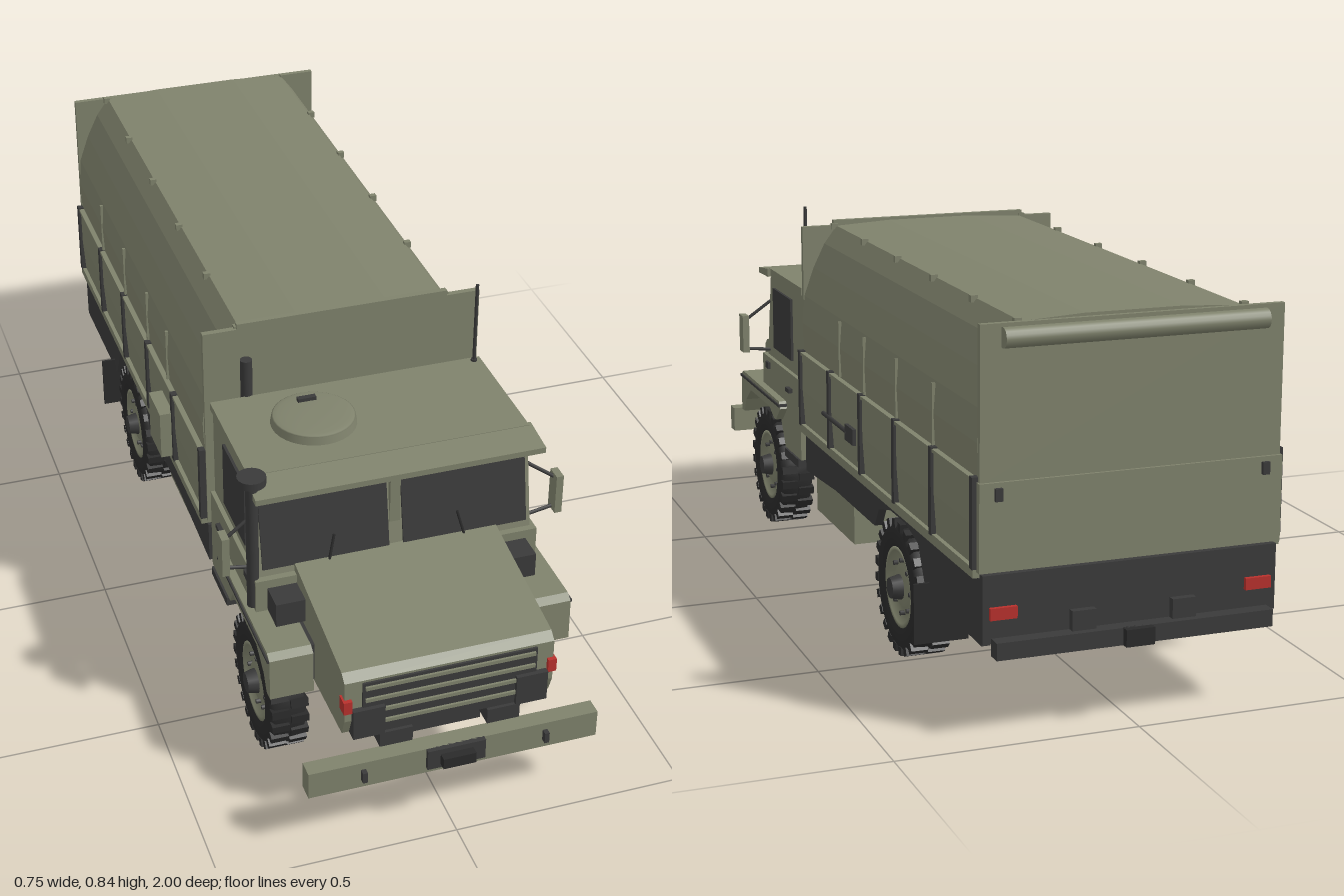
import * as THREE from 'three';

const paint = (color) => new THREE.MeshStandardMaterial({ color, side: THREE.DoubleSide });
const olive = paint(0x7f826c), dark = paint(0x3a3a3a), black = paint(0x2a2a2a), red = paint(0xb8302c);

export function createModel() {
  const truck = new THREE.Group();
  truck.name = 'truck';

  const add = (name, geo, mat, parent = truck) => {
    const m = new THREE.Mesh(geo, mat);
    m.name = name;
    parent.add(m);
    return m;
  };
  // Box given by its limits
  const box = (name, mat, x0, x1, y0, y1, z0, z1, parent) => {
    const g = new THREE.BoxGeometry(Math.abs(x1 - x0), y1 - y0, Math.abs(z1 - z0));
    g.translate((x0 + x1) / 2, (y0 + y1) / 2, (z0 + z1) / 2);
    return add(name, g, mat, parent);
  };
  // The same box on both sides
  const pair = (name, mat, x0, x1, ...r) => [-1, 1].forEach((s) => box(name, mat, s * x0, s * x1, ...r));
  // Side profile of [z, y] points, extruded from x0 to x1
  const sideProfile = (name, mat, pts, x0, x1) => {
    const shape = new THREE.Shape(pts.map((p) => new THREE.Vector2(...p)));
    const g = new THREE.ExtrudeGeometry(shape, { depth: x1 - x0, bevelEnabled: false });
    g.rotateY(-Math.PI / 2).translate(x1, 0, 0);
    return add(name, g, mat);
  };
  const pairProfile = (name, mat, pts, x0, x1) => {
    sideProfile(name, mat, pts, x0, x1);
    sideProfile(name, mat, pts, -x1, -x0);
  };
  // Round bar between two points
  const rod = (name, mat, a, b, r, n = 12, r2 = r) => {
    const p = new THREE.Vector3(...a), q = new THREE.Vector3(...b), d = q.clone().sub(p);
    const m = add(name, new THREE.CylinderGeometry(r2, r, d.length(), n), mat);
    m.position.copy(p).add(q).multiplyScalar(0.5);
    m.quaternion.setFromUnitVectors(new THREE.Vector3(0, 1, 0), d.normalize());
    return m;
  };

  // Wheels: lathed tyre and rim with tread blocks, outer side towards +x
  const lathe = (pts) => new THREE.LatheGeometry(pts.map((p) => new THREE.Vector2(...p)), 36).rotateZ(-Math.PI / 2);
  const tyreGeo = lathe([[0.085, -0.035], [0.1, -0.042], [0.125, -0.04], [0.138, -0.032], [0.14, 0],
    [0.138, 0.032], [0.125, 0.04], [0.1, 0.042], [0.085, 0.035]]);
  const rimGeo = lathe([[0.087, -0.035], [0.078, -0.02], [0.087, 0.036], [0.078, 0.036], [0.072, 0.02],
    [0.045, 0.025], [0.04, 0.032], [0, 0.032]]);
  const makeWheel = () => {
    const w = new THREE.Group();
    w.name = 'wheel';
    add('tyre', tyreGeo, black, w);
    add('rim', rimGeo, olive, w);
    add('hub', new THREE.CylinderGeometry(0.022, 0.028, 0.026, 16).rotateZ(-Math.PI / 2), dark, w).position.x = 0.042;
    for (let i = 0; i < 24; i++) {
      for (const s of [-1, 1]) {
        const a = ((i + (s > 0 ? 0.5 : 0)) / 24) * Math.PI * 2;
        const lug = box('treadBlock', black, s * 0.002, s * 0.04, 0.128, 0.146, -0.009, 0.009, w);
        lug.rotation.x = a;
      }
    }
    for (let i = 0; i < 8; i++) {
      const a = (i / 8) * Math.PI * 2;
      const bolt = add('wheelNut', new THREE.CylinderGeometry(0.005, 0.005, 0.012, 6).rotateZ(Math.PI / 2), dark, w);
      bolt.position.set(0.027, Math.cos(a) * 0.058, Math.sin(a) * 0.058);
    }
    return w;
  };
  for (const z of [0.59, -0.45]) {
    for (const s of [-1, 1]) {
      const w = makeWheel();
      w.position.set(s * 0.272, 0.146, z);
      if (s < 0) w.rotation.y = Math.PI;
      truck.add(w);
      rod('shockAbsorber', dark, [s * 0.15, 0.15, z - 0.04], [s * 0.13, 0.27, z - 0.06], 0.012);
      const spring = new THREE.QuadraticBezierCurve3(new THREE.Vector3(s * 0.16, 0.22, z - 0.2),
        new THREE.Vector3(s * 0.16, 0.13, z), new THREE.Vector3(s * 0.16, 0.22, z + 0.2));
      add('leafSpring', new THREE.TubeGeometry(spring, 10, 0.012, 6), dark);
    }
    // Axle and differential
    rod('axle', dark, [-0.25, 0.146, z], [0.25, 0.146, z], 0.022);
    const diff = add('differential', new THREE.SphereGeometry(0.055, 16, 12), dark);
    diff.position.set(0, 0.15, z);
  }

  // Chassis
  pair('frameRail', dark, 0.09, 0.12, 0.2, 0.265, -0.94, 0.92);
  for (const z of [-0.9, -0.68, -0.25, 0, 0.25, 0.8]) box('crossMember', dark, -0.1, 0.1, 0.21, 0.25, z - 0.015, z + 0.015);
  rod('rearDriveShaft', dark, [0, 0.15, -0.42], [0, 0.19, 0.08], 0.014);
  rod('frontDriveShaft', dark, [0, 0.15, 0.56], [0, 0.19, 0.14], 0.014);
  box('transferCase', dark, -0.06, 0.06, 0.14, 0.25, 0.05, 0.17);
  box('gearbox', dark, -0.06, 0.06, 0.18, 0.28, 0.17, 0.6);
  box('engine', dark, -0.09, 0.09, 0.18, 0.3, 0.6, 0.88);

  // Tanks under the bed
  box('storageBox', olive, 0.17, 0.305, 0.145, 0.265, -0.13, 0.165);
  rod('fuelTank', olive, [-0.23, 0.2, -0.15], [-0.23, 0.2, 0.01], 0.065, 24);
  rod('airTank', olive, [-0.23, 0.2, 0.05], [-0.23, 0.2, 0.2], 0.045, 24);
  for (const z of [-0.12, -0.02, 0.08, 0.17]) box('tankBracket', dark, -0.29, -0.1, 0.18, 0.27, z - 0.006, z + 0.006);

  // Bumpers
  box('frontBumper', olive, -0.31, 0.31, 0.15, 0.212, 0.935, 0.972);
  box('towPlate', dark, -0.062, 0.062, 0.165, 0.212, 0.97, 0.982);
  box('towHitch', black, -0.035, 0.035, 0.175, 0.2, 0.98, 1);
  pair('towHook', dark, 0.19, 0.2, 0.17, 0.195, 0.97, 0.985);
  pair('bumperBracket', dark, 0.08, 0.15, 0.215, 0.25, 0.86, 0.94);
  box('rearBumper', dark, -0.29, 0.29, 0.165, 0.2, -0.985, -0.955);
  box('rearHitch', black, -0.03, 0.03, 0.165, 0.2, -1, -0.98);
  pair('rearBumperBracket', dark, 0.08, 0.13, 0.19, 0.24, -0.97, -0.9);

  // Hood and grille
  sideProfile('hood', olive, [[0.6, 0.24], [0.915, 0.25], [0.93, 0.29], [0.928, 0.385], [0.91, 0.4], [0.6, 0.45]], -0.222, 0.222);
  box('grille', dark, -0.185, 0.185, 0.25, 0.38, 0.92, 0.933);
  for (let i = 0; i < 4; i++) box('grilleSlat', olive, -0.18, 0.18, 0.275 + i * 0.03, 0.283 + i * 0.03, 0.93, 0.938);
  pair('headlight', dark, 0.14, 0.207, 0.25, 0.32, 0.91, 0.942);
  pair('frontMarkerLight', red, 0.208, 0.226, 0.315, 0.345, 0.91, 0.938);

  // Fenders and steps
  pairProfile('frontFender', olive, [[0.4, 0.335], [0.41, 0.352], [0.755, 0.355], [0.772, 0.345], [0.775, 0.25],
    [0.75, 0.25], [0.73, 0.285], [0.68, 0.32], [0.5, 0.32], [0.46, 0.3], [0.44, 0.3]], 0.235, 0.328);
  pair('fenderTrim', dark, 0.3, 0.332, 0.34, 0.346, 0.4, 0.77);
  pair('innerFender', dark, 0.2, 0.235, 0.25, 0.34, 0.45, 0.74);
  pair('sideBox', dark, 0.215, 0.285, 0.355, 0.41, 0.615, 0.68);
  pair('cabStep', dark, 0.25, 0.315, 0.215, 0.235, 0.29, 0.41);

  // Cab
  sideProfile('cabLower', olive, [[0.28, 0.235], [0.42, 0.235], [0.46, 0.3], [0.52, 0.335], [0.62, 0.335],
    [0.62, 0.43], [0.28, 0.43]], -0.31, 0.31);
  sideProfile('cabUpper', olive, [[0.28, 0.43], [0.605, 0.43], [0.565, 0.64], [0.28, 0.64]], -0.3, 0.3);
  box('cabRoof', olive, -0.305, 0.305, 0.638, 0.655, 0.275, 0.56);
  sideProfile('sunVisor', olive, [[0.55, 0.635], [0.635, 0.632], [0.635, 0.645], [0.55, 0.655]], -0.312, 0.312);
  for (const s of [-1, 1]) {
    const pane = add('windscreen', new THREE.BoxGeometry(0.275, 0.185, 0.006), dark);
    pane.position.set(s * 0.153, 0.537, 0.586);
    pane.rotation.x = -0.188;
    rod('wiper', black, [s * 0.15, 0.44, 0.612], [s * 0.135, 0.5, 0.6], 0.003, 6);
    box('sideWindow', dark, s * 0.295, s * 0.306, 0.46, 0.61, 0.37, 0.53);
    box('doorHandle', dark, s * 0.31, s * 0.32, 0.385, 0.395, 0.35, 0.38);
    for (const y of [0.33, 0.41]) box('doorHinge', dark, s * 0.31, s * 0.316, y - 0.008, y + 0.008, 0.55, 0.575);
    // Mirror
    box('mirror', olive, s * 0.358, s * 0.374, 0.445, 0.537, 0.565, 0.6);
    rod('mirrorArm', dark, [s * 0.3, 0.57, 0.575], [s * 0.362, 0.525, 0.58], 0.004, 6);
    rod('mirrorArm', dark, [s * 0.3, 0.445, 0.585], [s * 0.362, 0.452, 0.58], 0.004, 6);
  }
  box('windscreenDivider', olive, -0.011, 0.011, 0.44, 0.64, 0.58, 0.592).rotation.x = 0;
  box('rearWindow', dark, -0.12, 0.12, 0.48, 0.6, 0.274, 0.282);

  // Roof hatch, intake, exhaust and antenna
  rod('roofHatch', olive, [-0.118, 0.65, 0.41], [-0.118, 0.672, 0.41], 0.092, 32, 0.088);
  add('hatchDome', new THREE.SphereGeometry(0.088, 32, 6, 0, Math.PI * 2, 0, Math.PI / 2).scale(1, 0.08, 1), olive)
    .position.set(-0.118, 0.672, 0.41);
  box('hatchHandle', dark, -0.138, -0.098, 0.675, 0.686, 0.355, 0.367);
  rod('intakePipe', dark, [-0.31, 0.36, 0.6], [-0.31, 0.67, 0.6], 0.013, 16);
  rod('intakeCap', dark, [-0.31, 0.665, 0.6], [-0.31, 0.682, 0.6], 0.03, 20);
  rod('exhaustStack', dark, [-0.221, 0.3, 0.265], [-0.221, 0.74, 0.265], 0.013, 16);
  rod('antennaBase', dark, [0.288, 0.31, 0.288], [0.288, 0.66, 0.288], 0.007, 10);
  rod('antenna', dark, [0.288, 0.65, 0.288], [0.288, 0.845, 0.288], 0.004, 8);

  // Cargo body with curved shoulders
  const half = [[0.312, 0.325], [0.318, 0.42], [0.318, 0.51], [0.31, 0.512], [0.313, 0.58], [0.308, 0.645],
    [0.285, 0.71], [0.258, 0.765], [0.228, 0.805], [0.1, 0.812]];
  const outline = [...half, ...half.slice().reverse().map(([x, y]) => [-x, y])];
  const section = new THREE.Shape(outline.map((p) => new THREE.Vector2(...p)));
  add('cargoBody', new THREE.ExtrudeGeometry(section, { depth: 1.18, bevelEnabled: false }).translate(0, 0, -0.94), olive);
  box('frontPanel', olive, -0.31, 0.31, 0.33, 0.806, 0.235, 0.248);
  box('frontPanelCap', olive, -0.235, 0.235, 0.806, 0.818, 0.235, 0.248);
  box('rearPanel', olive, -0.312, 0.312, 0.5, 0.806, -0.95, -0.938);
  box('tailgate', olive, -0.315, 0.315, 0.33, 0.505, -0.956, -0.938);
  rod('rolledCurtain', olive, [-0.27, 0.78, -0.958], [0.27, 0.78, -0.958], 0.02, 16);
  pair('tailgateLatch', dark, 0.27, 0.285, 0.47, 0.495, -0.964, -0.95);
  pair('sideRail', olive, 0.3, 0.322, 0.318, 0.338, -0.94, 0.24);
  pair('sideLedge', olive, 0.305, 0.322, 0.505, 0.512, -0.94, 0.24);
  for (let i = 0; i < 6; i++) {
    const z = 0.237 - i * 0.234;
    pair('sidePost', dark, 0.31, 0.324, 0.335, 0.515, z - 0.008, z + 0.008);
    pair('roofHoop', olive, 0.225, 0.24, 0.797, 0.811, z - 0.006, z + 0.006);
  }
  for (const z of [-0.06, -0.24, -0.46, -0.69]) pair('panelSeam', olive, 0.309, 0.316, 0.515, 0.64, z - 0.003, z + 0.003);

  // Carried tools and can
  rod('shovelHandle', dark, [0.324, 0.41, 0.04], [0.324, 0.41, -0.15], 0.005, 8);
  box('shovelBlade', dark, 0.32, 0.328, 0.392, 0.428, -0.2, -0.14);
  box('sideCan', olive, -0.35, -0.315, 0.345, 0.46, -0.1, 0);

  // Bed and skirts, open around the rear wheels
  box('bedFloor', dark, -0.3, 0.3, 0.295, 0.325, -0.945, 0.245);
  pairProfile('bedSkirt', dark, [[0.245, 0.315], [0.245, 0.22], [0, 0.235], [-0.29, 0.235], [-0.32, 0.28],
    [-0.4, 0.3], [-0.5, 0.3], [-0.58, 0.28], [-0.63, 0.19], [-0.95, 0.185], [-0.95, 0.315]], 0.29, 0.308);
  box('rearSill', dark, -0.308, 0.308, 0.19, 0.325, -0.955, -0.94);
  pair('tailLight', red, 0.24, 0.295, 0.238, 0.262, -0.964, -0.95);
  pair('mudFlap', black, 0.225, 0.342, 0.09, 0.218, -0.652, -0.646);
  pair('mudFlapBracket', dark, 0.21, 0.3, 0.21, 0.235, -0.655, -0.635);

  return truck;
}
